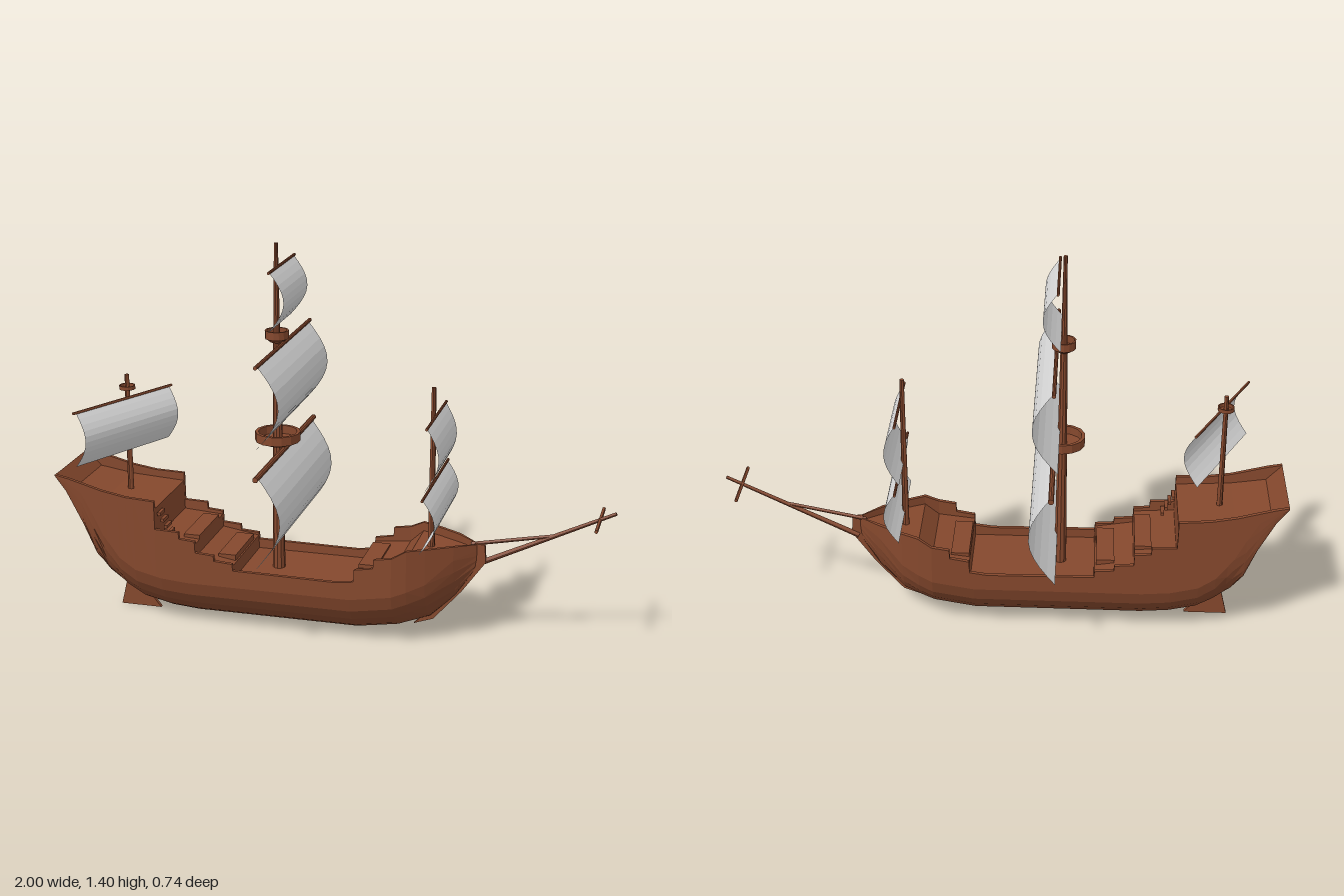
import * as THREE from 'three';

export function createModel() {
  const ship = new THREE.Group();
  ship.name = 'sailingShip';
  const wood = new THREE.MeshStandardMaterial({ color: 0x85482d });
  wood.name = 'wood';
  const canvas = new THREE.MeshStandardMaterial({ color: 0xdcdcdc, side: THREE.DoubleSide });
  canvas.name = 'canvas';
  wood.flatShading = canvas.flatShading = true;

  const add = (name, geo, mat = wood, parent = ship) => {
    const m = new THREE.Mesh(geo, mat);
    m.name = name;
    parent.add(m);
    return m;
  };
  // Tapered round pole between two points
  const spar = (name, a, b, r1, r2 = r1, parent = ship) => {
    const p = new THREE.Vector3(...a), q = new THREE.Vector3(...b);
    const m = add(name, new THREE.CylinderGeometry(r2, r1, p.distanceTo(q), 10), wood, parent);
    m.position.copy(p).add(q).multiplyScalar(0.5);
    m.quaternion.setFromUnitVectors(new THREE.Vector3(0, 1, 0), q.sub(p).normalize());
    return m;
  };
  const box = (name, x0, x1, y0, y1, w) => {
    add(name, new THREE.BoxGeometry(x1 - x0, y1 - y0, w)).position.set((x0 + x1) / 2, (y0 + y1) / 2, 0);
  };
  const plate = (name, pts, depth) => {
    const shape = new THREE.Shape(pts.map(p => new THREE.Vector2(...p)));
    const g = new THREE.ExtrudeGeometry(shape, { depth, bevelEnabled: false });
    add(name, g.translate(0, 0, -depth / 2));
  };

  // Piecewise linear lookup through [x, value] pairs
  const at = (table, x) => {
    if (x <= table[0][0]) return table[0][1];
    for (let i = 1; i < table.length; i++) {
      const [x0, v0] = table[i - 1], [x1, v1] = table[i];
      if (x <= x1) return v0 + (v1 - v0) * (x - x0) / (x1 - x0);
    }
    return table[table.length - 1][1];
  };

  // Hull outlines along its length
  const keel = [[-1, .545], [-.96, .49], [-.9, .37], [-.86, .25], [-.82, .17], [-.76, .09], [-.7, .05],
    [-.6, .028], [-.5, .02], [.1, .02], [.25, .045], [.36, .085], [.45, .175], [.525, .285]];
  const bottomWidth = [[-1, .158], [-.9, .152], [-.86, .13], [-.82, .085], [-.76, .02], [-.7, .004], [.525, .002]];
  const beam = [[-1, .16], [-.8, .163], [-.62, .17], [.25, .17], [.3, .156], [.36, .125], [.45, .07], [.525, .006]];
  const sheer = [[-1, .55], [-.95, .54], [-.82, .505], [-.73, .49], [-.62, .485], [-.618, .38], [-.53, .377],
    [-.528, .352], [-.47, .347], [-.468, .305], [-.4, .3], [-.398, .28], [-.33, .275], [-.328, .25], [.05, .246],
    [.115, .255], [.117, .3], [.185, .312], [.187, .345], [.25, .355], [.3, .382], [.45, .382], [.525, .375]];
  const deck = [[-1, .549], [-.945, .49], [-.82, .47], [-.62, .455], [-.618, .345], [-.47, .335], [-.468, .288],
    [-.33, .265], [-.328, .215], [.115, .215], [.117, .285], [.25, .3], [.3, .35], [.525, .355]];

  // Hull loft: each closed section runs keel, bilge, rail, deck
  const xs = [...new Set([keel, beam, sheer, deck].flat().map(p => p[0]))].sort((a, b) => a - b);
  const bilge = [[.24, .07], [.45, .19], [.72, .44], [.9, .69], [1, 1]];
  const sections = xs.map(x => {
    const k = at(keel, x), b = at(bottomWidth, x), w = at(beam, x), s = at(sheer, x);
    const d = Math.min(at(deck, x), s - .001);
    const rise = Math.min(.165, (s - k) * .75);
    const inner = Math.max(w - .014, w * .3);
    const half = [[k, 0], [k, b], ...bilge.map(([u, v]) => [k + rise * v, b + (w - b) * u]),
      [s, w], [s, inner], [d, inner], [d, 0]];
    const mirror = half.slice(1, -1).reverse().map(([y, z]) => [y, -z]);
    return [...half, ...mirror].map(([y, z]) => [x, y, z]);
  });
  const n = sections[0].length, index = [];
  for (let i = 0; i < sections.length - 1; i++) {
    for (let j = 0; j < n; j++) {
      const a = i * n + j, c = i * n + (j + 1) % n;
      index.push(a, a + n, c, c, a + n, c + n);
    }
  }
  for (let j = 1; j < n - 1; j++) {
    const e = (sections.length - 1) * n;
    index.push(0, j, j + 1, e, e + j + 1, e + j);
  }
  const hull = new THREE.BufferGeometry();
  hull.setAttribute('position', new THREE.Float32BufferAttribute(sections.flat(2), 3));
  hull.setIndex(index);
  const hullGeo = hull.toNonIndexed();
  hullGeo.computeVertexNormals();
  add('hull', hullGeo);

  // Stem, rudder and deck steps
  plate('stem', [[.3, .05], [.37, .075], [.47, .19], [.555, .31], [.55, .375], [.515, .378], [.5, .29], [.4, .15]], .016);
  plate('rudder', [[-.82, .005], [-.665, .005], [-.7, .05], [-.76, .1], [-.79, .13]], .014);
  box('upperStep', -.53, -.47, .33, .35, .22);
  box('lowerStep', -.4, -.335, .26, .287, .22);
  box('foreStep', .12, .185, .27, .3, .22);
  for (let i = 0; i < 4; i++) {
    add('ladderRung', new THREE.BoxGeometry(.012, .012, .05)).position.set(-.61 + i * .012, .43 - i * .023, .12);
  }

  // Masts
  spar('mainMast', [-.205, .2, 0], [-.205, 1.07, 0], .023, .013);
  spar('mainTopmast', [-.205, 1.05, 0], [-.205, 1.41, 0], .012, .007);
  spar('foreMast', [.357, .3, 0], [.357, .935, 0], .013, .008);
  spar('mizzenMast', [-.77, .45, 0], [-.77, .9, 0], .011, .008);

  // Open lookout baskets
  const basket = (name, x, y, h, r, foot) => {
    const profile = [[.003, 0], [foot, 0], [r * .9, h * .28], [r, h * .3], [r, h], [r * .85, h], [r * .85, h * .35], [.003, h * .35]];
    const g = new THREE.LatheGeometry(profile.map(p => new THREE.Vector2(...p)), 14);
    add(name, g).position.set(x, y, 0);
  };
  basket('mainLookout', -.205, .685, .047, .081, .045);
  basket('topLookout', -.205, 1.06, .042, .042, .024);
  basket('mizzenLookout', -.77, .84, .02, .029, .012);

  // Square sail hanging from a yard, bellied forward
  const sail = (name, x, top, bottom, halfSail, halfYard, belly, r, z = 0, angle = 0) => {
    const g = new THREE.Group();
    g.name = name;
    g.position.set(x, top, z);
    g.rotation.y = angle;
    ship.add(g);
    spar(name + 'Yard', [0, 0, -halfYard], [0, 0, halfYard], r, r, g);
    const cloth = new THREE.PlaneGeometry(2 * halfSail, top - bottom, 1, 10).rotateY(Math.PI / 2);
    const p = cloth.attributes.position;
    for (let i = 0; i < p.count; i++) {
      const t = .5 - p.getY(i) / (top - bottom);
      p.setX(i, belly * Math.sin(Math.PI * t) - .2 * belly * t);
      p.setY(i, -t * (top - bottom));
    }
    cloth.computeVertexNormals();
    add(name + 'Cloth', cloth, canvas, g);
  };
  sail('mainSail', -.176, .675, .33, .345, .37, .085, .01);
  sail('mainTopsail', -.18, 1.057, .755, .32, .34, .08, .007);
  sail('mainTopgallant', -.185, 1.338, 1.125, .15, .16, .055, .005);
  sail('foreSail', .368, .6, .403, .22, .23, .046, .005);
  sail('foreTopsail', .368, .836, .603, .163, .172, .046, .005);
  sail('mizzenSail', -.765, .823, .622, .225, .238, .05, .005, .053, -.455);

  // Bowsprit with its brace and cross yard
  spar('bowsprit', [.53, .3, -.008], [1, .53, -.008], .01, .006);
  spar('bowspritBrace', [.5, .37, -.008], [.79, .428, -.008], .007, .006);
  spar('bowspritYard', [.945, .502, -.125], [.945, .502, .11], .006);
  return ship;
}
